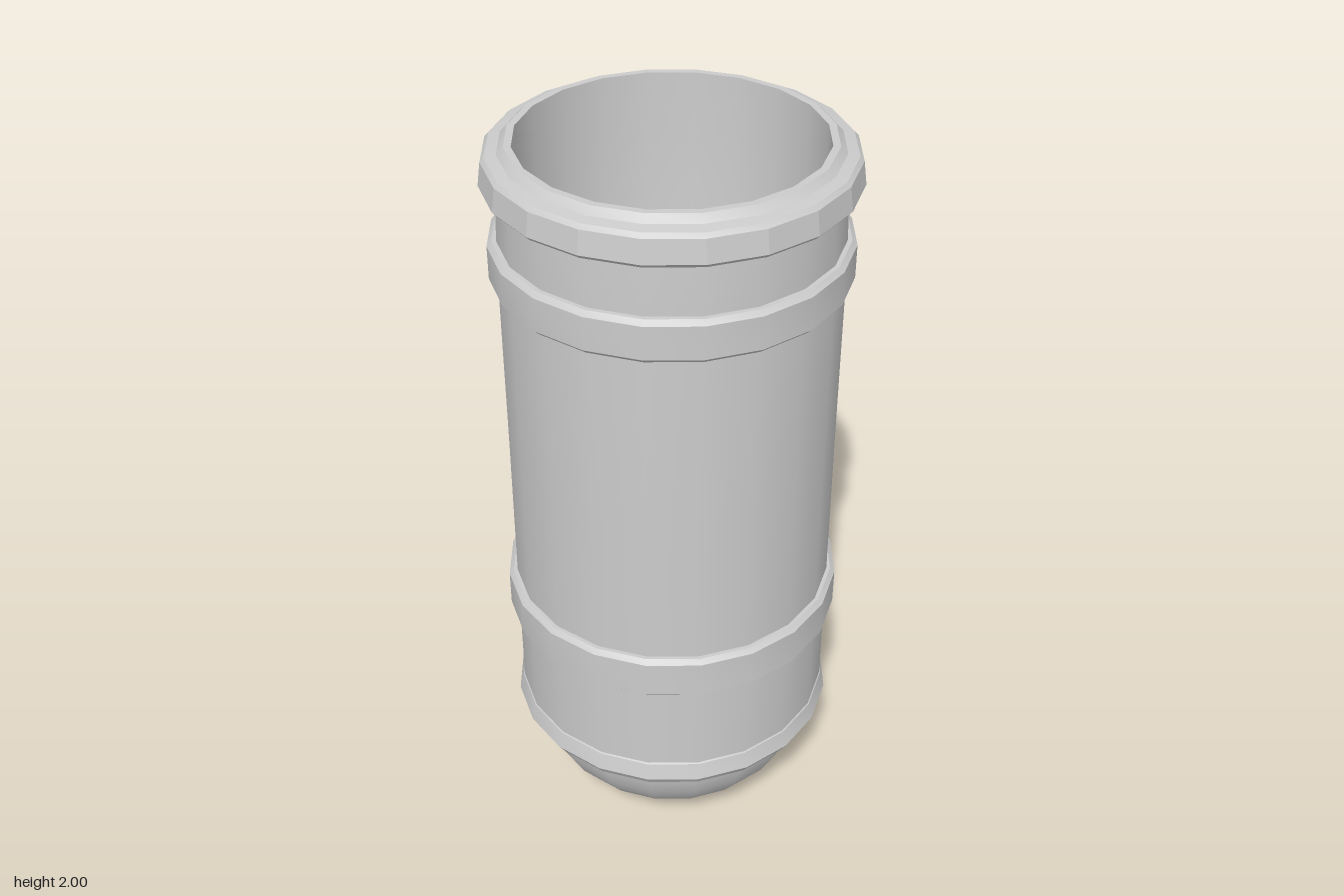
import * as THREE from 'three';
import { toCreasedNormals } from 'three/addons/utils/BufferGeometryUtils.js';

const SIDES = 20;
const grey = new THREE.MeshStandardMaterial({ color: 0xcccccc, side: THREE.DoubleSide });

// Revolve a [radius, height] profile, listed bottom to top on the outside
function turned(name, profile, crease) {
  const pts = profile.map(([r, y]) => new THREE.Vector2(r, y));
  let geo = new THREE.LatheGeometry(pts, SIDES);
  if (crease) geo = toCreasedNormals(geo, crease);
  const mesh = new THREE.Mesh(geo, grey);
  mesh.name = name;
  return mesh;
}

// Quarter-ellipse profile rising from the axis at yLow to radius r at yHigh
function bowl(r, yLow, yHigh, steps) {
  return Array.from({ length: steps + 1 }, (_, i) => {
    const a = (i / steps) * Math.PI / 2;
    return [r * Math.sin(a), yHigh - (yHigh - yLow) * Math.cos(a)];
  });
}

// Raised ring with bevelled edges around the body
function band(name, y0, y1, r) {
  const b = 0.012;
  return turned(name, [[0.41, y0], [r - b, y0], [r, y0 + b], [r, y1 - b], [r - b, y1], [0.41, y1]], 0.45);
}

export function createModel() {
  const group = new THREE.Group();
  group.name = 'canister';

  // Rounded base and straight body
  group.add(turned('dome', bowl(0.405, 0, 0.37, 12)));
  group.add(turned('body', [[0.422, 0.36], [0.422, 0.72], [0.42, 1.2], [0.42, 1.7], [0.412, 1.92]]));

  // Rings
  group.add(turned('baseRing', [[0.39, 0.315], [0.42, 0.315], [0.437, 0.342],
    [0.425, 0.387], [0.418, 0.395], [0.4, 0.395]], 0.35));
  group.add(band('lowerRing', 0.65, 0.772, 0.444));
  group.add(band('upperRing', 1.655, 1.765, 0.441));

  // Stepped rim around the mouth
  group.add(turned('rim', [[0.4, 1.9], [0.442, 1.9], [0.451, 1.91], [0.443, 1.968], [0.433, 1.978],
    [0.405, 1.983], [0.388, 2], [0.37, 2]], 0.3));

  // Deep hollow with a rounded floor
  group.add(turned('innerWall', bowl(0.37, 0.4, 2, 16).reverse()));

  return group;
}
